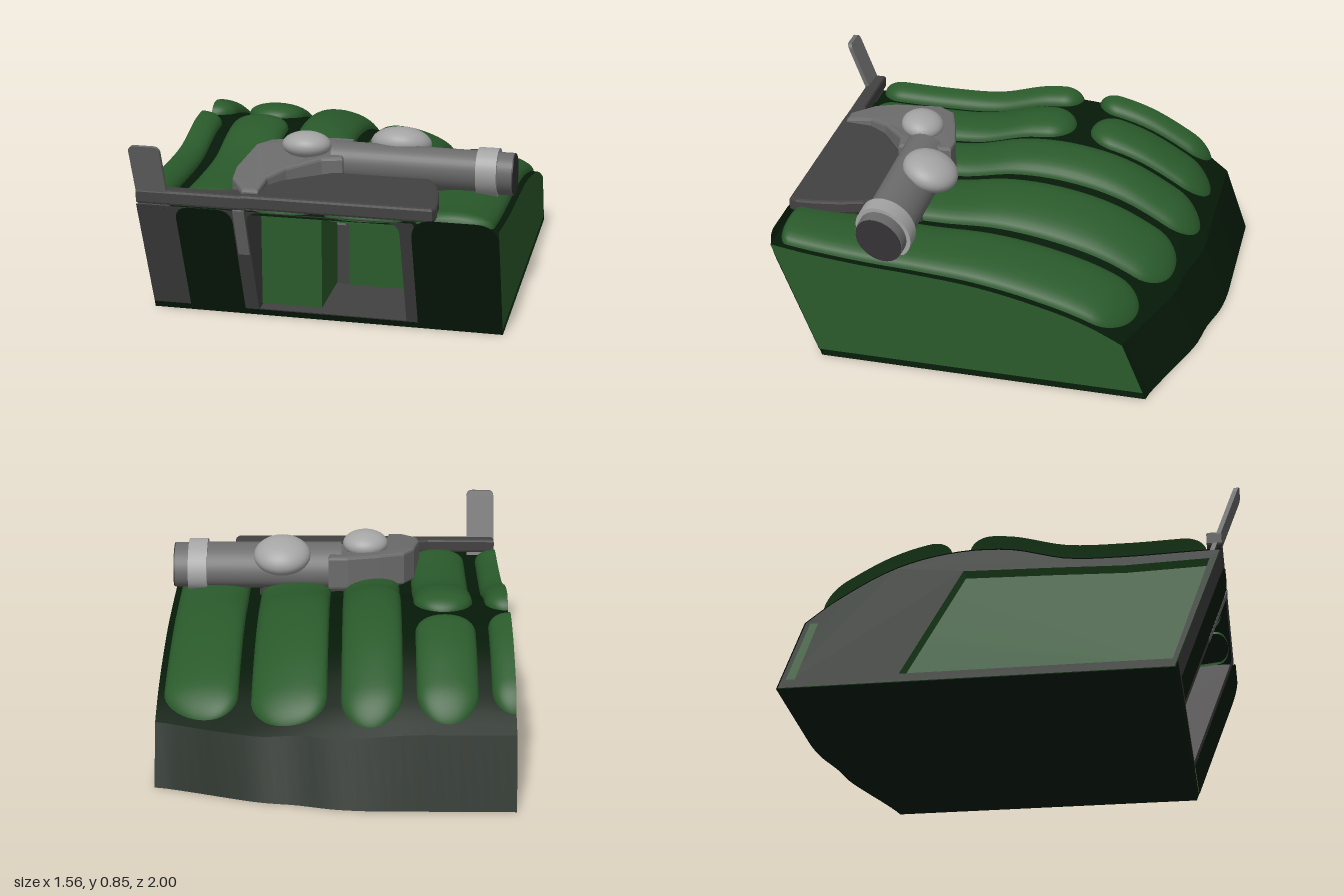
import * as THREE from 'three';

const mat = (name, color) => new THREE.MeshStandardMaterial({ name, color, side: THREE.DoubleSide });
const { lerp, smoothstep, clamp } = THREE.MathUtils;

// Smooth curve through evenly spaced values, t in 0..1
function spline(values, t) {
  const n = values.length - 1, p = clamp(t, 0, 1) * n, i = Math.min(Math.floor(p), n - 1), f = p - i;
  const at = (k) => values[clamp(k, 0, n)];
  const [a, b, c, d] = [at(i - 1), at(i), at(i + 1), at(i + 2)];
  return b + 0.5 * f * (c - a + f * (2 * a - 5 * b + 4 * c - d + f * (3 * (b - c) + d - a)));
}

// Body rules: side profiles (z from -1 to 1), slanted front and curved rear
const leftProfile = [0.24, 0.41, 0.545, 0.605, 0.605, 0.545, 0.535, 0.54, 0.545];
const rightProfile = [0.08, 0.21, 0.335, 0.41, 0.46, 0.485, 0.50, 0.525, 0.56];
const height = (x, z) => lerp(spline(leftProfile, (z + 1) / 2), spline(rightProfile, (z + 1) / 2), smoothstep(x, -0.4, 0.9));
const frontZ = (y) => 0.70 + 0.385 * y;
const rearZ = (x) => (x < -0.16 ? -1 : spline([-1, -0.985, -0.945, -0.92, -0.87, -0.815, -0.77], (x + 0.16) / 0.94));
const FRONT = 0.91, HALF = 0.78;

// Surface from a rule (u, v) -> [x, y, z]
function surface(rule, nu, nv) {
  const g = new THREE.PlaneGeometry(1, 1, nu, nv), p = g.attributes.position;
  for (let i = 0; i < p.count; i++) p.setXYZ(i, ...rule(p.getX(i) + 0.5, p.getY(i) + 0.5));
  g.computeVertexNormals();
  return g;
}

// Leans an upright geometry onto the slanted front
function lean(g) {
  const p = g.attributes.position;
  for (let i = 0; i < p.count; i++) p.setZ(i, p.getZ(i) + frontZ(p.getY(i)));
  g.computeVertexNormals();
  return g;
}

// Rectangle with rounded top corners
function arch(x0, x1, y0, y1, r, path = new THREE.Shape()) {
  path.moveTo(x0, y0).lineTo(x1, y0).lineTo(x1, y1 - r);
  path.quadraticCurveTo(x1, y1, x1 - r, y1).lineTo(x0 + r, y1);
  path.quadraticCurveTo(x0, y1, x0, y1 - r);
  path.closePath();
  return path;
}

// Outline of the body side at x, drawn as (z, y)
function sideOutline(x, bottom, inset) {
  const z0 = rearZ(x), zt = z0 + 0.11 + inset, pts = [];
  pts.push(new THREE.Vector2(frontZ(bottom) - inset, bottom));
  for (let i = 0; i <= 32; i++) {
    const z = lerp(FRONT - inset, zt, i / 32);
    pts.push(new THREE.Vector2(z, height(x, z) - inset));
  }
  pts.push(new THREE.Vector2(z0 + 0.11 * bottom / height(x, zt) + inset, bottom));
  return new THREE.Shape(pts);
}

const points = (list) => list.map((p) => new THREE.Vector2(...p));

// Stands a (z, y) geometry up at the given x
const sideways = (g, x) => g.rotateY(-Math.PI / 2).translate(x, 0, 0);

// Slab lying flat, outline given as (x, z) pairs
function slab(outline, y, thick, bevel = 0.012) {
  const shape = new THREE.Shape(outline.map(([x, z]) => new THREE.Vector2(x, -z)));
  return new THREE.ExtrudeGeometry(shape, { depth: thick - 2 * bevel, bevelSize: bevel, bevelOffset: -bevel, bevelThickness: bevel, bevelSegments: 2 })
    .rotateX(-Math.PI / 2).translate(0, y + bevel, 0);
}

export function createModel() {
  const green = mat('green', 0x2a5a2b), darkGreen = mat('dark green', 0x061a08);
  const darkGrey = mat('dark grey', 0x434141), grey = mat('grey', 0x6c6c6c);
  const lightGrey = mat('light grey', 0xa4a4a4), black = mat('charcoal', 0x353335);
  const model = new THREE.Group();
  const add = (name, geometry, material) => {
    const m = new THREE.Mesh(geometry, material);
    m.name = name;
    model.add(m);
    return m;
  };

  // Base shell
  const X = (u) => lerp(-HALF, HALF, u);
  add('bodyTop', surface((u, v) => {
    const x = X(u), z = lerp(FRONT, rearZ(x) + 0.11, v);
    return [x, height(x, z), z];
  }, 32, 40), darkGreen);
  add('bodyRear', surface((u, v) => {
    const x = X(u), z = rearZ(x);
    return [x, v * height(x, z + 0.11), z + 0.11 * v];
  }, 32, 1), darkGreen);
  add('bodyBottom', surface((u, v) => [X(u), 0, lerp(rearZ(X(u)), frontZ(0), v)], 32, 1), darkGreen);

  // Side walls: plain on the left, recessed on the right
  add('leftWall', sideways(new THREE.ShapeGeometry(sideOutline(HALF, 0.03, 0)), HALF), green);
  const side = sideOutline(-HALF, 0.004, 0.005);
  side.holes.push(new THREE.Path(points([[-0.47, 0.04], [-0.2, 0.51], [0.2, 0.5], [0.5, 0.49], [0.86, 0.5], [0.69, 0.04]])));
  add('rightWallFrame', sideways(new THREE.ExtrudeGeometry(side, { depth: 0.08, bevelEnabled: false }), -0.70), [darkGreen, green]);
  add('rightWallPanel', sideways(new THREE.ShapeGeometry(sideOutline(-HALF, 0.03, 0.02)), -0.71), green);
  add('rightWallSlit', sideways(new THREE.ShapeGeometry(new THREE.Shape(points([[-0.96, 0.04], [-0.92, 0.04], [-0.83, 0.3], [-0.865, 0.3]]))), -0.782), green);

  // Slanted front: grey frame with one wide opening, dark end panels, sill
  const frame = arch(-HALF, 0.42, 0.03, 0.56, 0.001);
  frame.holes.push(arch(-0.30, 0.36, 0.035, 0.555, 0.06, new THREE.Path()));
  add('frontFrame', lean(new THREE.ShapeGeometry(frame)), darkGrey);
  add('frontSill', lean(surface((u, v) => [X(u), 0.03 * v, 0], 1, 1)), darkGreen);
  add('frontPanelLeft', lean(new THREE.ShapeGeometry(arch(0.41, HALF, 0.03, 0.58, 0.1)).translate(0, 0, 0.002)), darkGreen);
  add('frontPanelRight', lean(new THREE.ShapeGeometry(arch(-0.61, -0.36, 0.03, 0.56, 0.07)).translate(0, 0, 0.004)), darkGreen);

  // Inside the opening: a padded block on one side, a deep bay on the other
  const bayBack = 0.34, blockFront = 0.65;
  const pad = (x0, x1, depth) => new THREE.ExtrudeGeometry(arch(x0, x1, 0.035, 0.56, 0.05), { depth, bevelEnabled: false });
  add('innerBlock', pad(-0.30, -0.03, blockFront - bayBack).translate(0, 0, bayBack), green);
  add('bayPad', pad(0.03, 0.36, 0.02).translate(0, 0, bayBack), green);
  add('bayBack', surface((u, v) => [lerp(-0.3, 0.37, u), lerp(0, 0.54, v), bayBack], 1, 1), darkGrey);
  add('bayFloor', surface((u, v) => [lerp(-0.3, 0.37, u), 0.03, lerp(frontZ(0.03), bayBack, v)], 1, 1), darkGrey);
  for (const x of [-0.302, 0.37]) {
    add('baySide', surface((u, v) => {
      const y = lerp(0.03, 0.53, v);
      return [x, y, lerp(bayBack, frontZ(y), u)];
    }, 1, 1), darkGrey);
  }

  // Padded ridges: [centre x, half width, rear z or null to follow the rear, front z, front radius, first u]
  const ridges = [
    [-0.78, 0.10, -0.81, -0.25, 0.10, 0], [-0.78, 0.10, -0.17, 0.85, 0.10, 0],
    [-0.49, 0.135, null, -0.26, 0.13, -1], [-0.49, 0.135, -0.19, 0.85, 0.10, -1],
    [-0.165, 0.135, null, 0.88, 0.06, -1], [0.195, 0.168, null, 0.90, 0.05, -1],
    [0.585, 0.168, null, 0.90, 0.05, -1],
  ];
  for (const [cx, w, rear, front, radius, u0] of ridges) {
    add('ridge', surface((u, v) => {
      const a = lerp(u0, 1, u) * Math.PI / 2, start = rear ?? rearZ(cx) + 0.15;
      let z = lerp(front, start, (1 - Math.cos(Math.PI * v)) / 2);
      const d = Math.min((front - z) / radius, (z - start) / Math.min(w, 0.13), 1);
      const e = Math.sqrt(Math.max(0, 1 - (1 - d) ** 2));
      const x = cx + w * e * Math.sin(a);
      // Rear ends skew along the curved rear edge
      if (rear === null) z += 0.8 * (rearZ(x) - rearZ(cx)) * smoothstep(v, 0.4, 1);
      return [x, height(x, z) - 0.012 + 0.074 * e * Math.max(0, Math.cos(a)) ** 0.75, z];
    }, 16, 48), green);
  }

  // Shelf, rail and upright tab at the front
  add('shelf', slab([[-0.32, 0.915], [-0.32, 0.8], [-0.2, 0.68], [0, 0.53], [0.42, 0.53], [0.46, 0.58], [0.49, 0.68], [0.51, 0.8], [0.515, 0.88], [0.5, 0.915]], 0.565, 0.065), darkGrey);
  add('frontRail', slab([[-HALF, 0.915], [-HALF, 0.85], [-0.45, 0.85], [-0.3, 0.81], [-0.3, 0.915]], 0.56, 0.067), darkGrey);
  const tab = new THREE.ExtrudeGeometry(arch(-HALF, -0.645, 0.5, 0.845, 0.03), { depth: 0.02, bevelEnabled: false });
  add('uprightTab', lean(tab.translate(0, 0, -0.045)), grey);

  // Curved bracket, lower towards the front, with two fingers
  const bracket = slab([[0.04, 0.29], [-0.05, 0.29], [-0.2, 0.33], [-0.32, 0.37], [-0.37, 0.45], [-0.4, 0.68], [-0.39, 0.78],
    [-0.32, 0.885], [-0.25, 0.885], [-0.24, 0.76], [-0.18, 0.67], [-0.05, 0.56], [0.04, 0.54]], 0.55, 0.16);
  const bp = bracket.attributes.position;
  for (let i = 0; i < bp.count; i++) {
    if (bp.getY(i) > 0.62) bp.setY(i, bp.getY(i) - 0.15 * Math.max(0, bp.getZ(i) - 0.47));
  }
  bracket.computeVertexNormals();
  add('bracket', bracket, grey);
  add('outerFinger', lean(new THREE.BoxGeometry(0.05, 0.23, 0.016).translate(-0.33, 0.445, -0.004)), grey);
  add('innerFinger', new THREE.BoxGeometry(0.04, 0.23, 0.03).translate(0, 0.445, 0.37), grey);

  // Oval barrel with collar, end cap and two domes
  const tube = (name, x0, x1, r0, r1, material) => {
    const m = add(name, new THREE.CylinderGeometry(r1, r0, x1 - x0, 40).rotateZ(-Math.PI / 2), material);
    m.position.set((x0 + x1) / 2, 0.635, 0.415);
    m.rotation.x = -0.7;
    m.scale.y = 0.78;
  };
  tube('barrel', -0.02, 0.775, 0.119, 0.114, grey);
  tube('collar', 0.62, 0.71, 0.134, 0.134, lightGrey);
  tube('barrelEnd', 0.77, 0.78, 0.111, 0.111, black);
  for (const [x, y, z, sx, sy, sz, tilt] of [[0.26, 0.713, 0.325, 0.135, 0.075, 0.128, -0.35], [-0.135, 0.728, 0.472, 0.108, 0.06, 0.098, -0.15]]) {
    const dome = add('dome', new THREE.SphereGeometry(1, 32, 20), lightGrey);
    dome.position.set(x, y, z);
    dome.scale.set(sx, sy, sz);
    dome.rotation.x = tilt;
  }
  return model;
}
